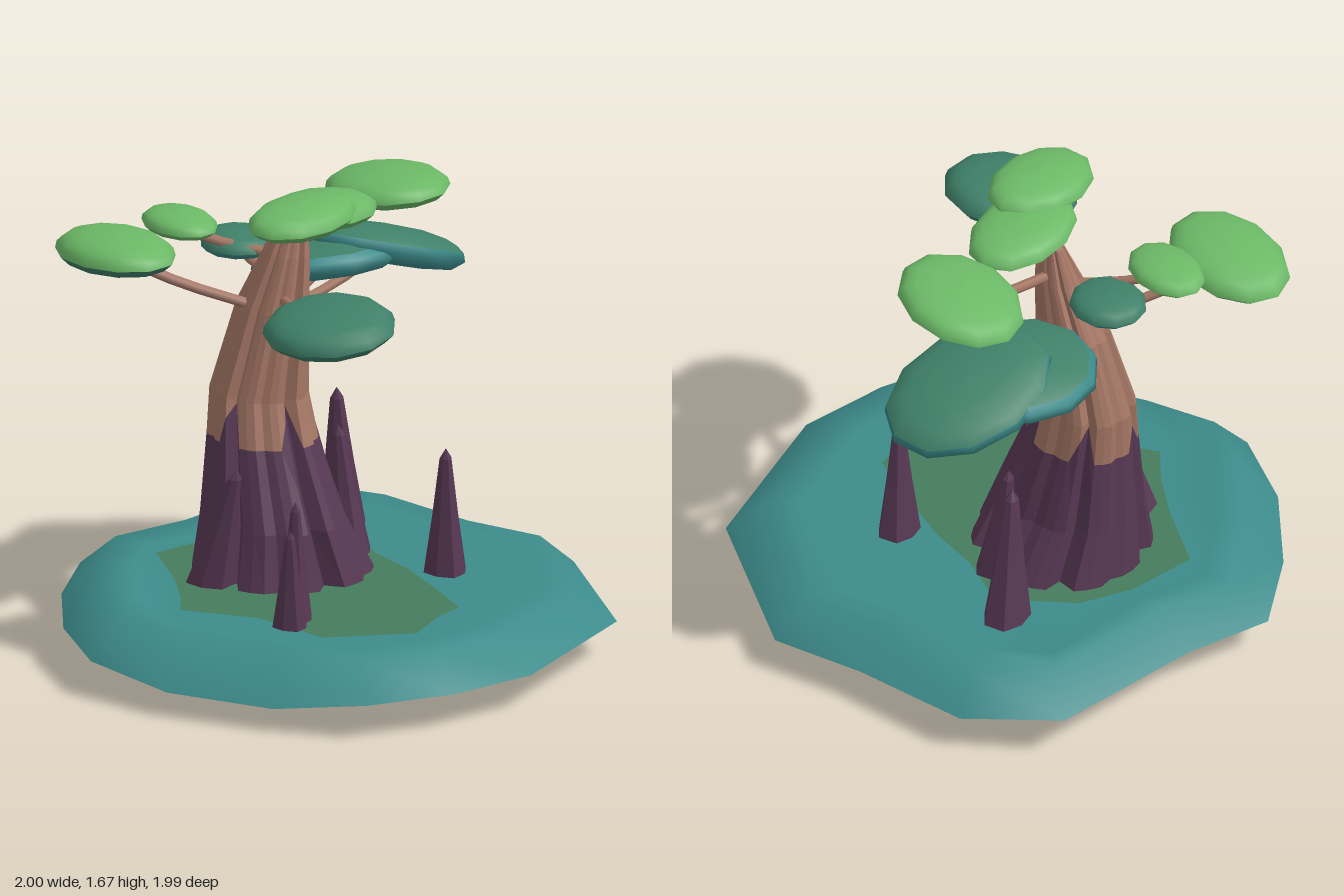
import * as THREE from 'three';

const mat = (name, color, opts = {}) => {
  const m = new THREE.MeshStandardMaterial({ color, ...opts });
  m.name = name;
  return m;
};

// Skins a stack of equal-length point loops; flat gives faceted normals
function loft(rings, flat) {
  const n = rings[0].length, index = [];
  for (let r = 0; r < rings.length - 1; r++)
    for (let i = 0; i < n; i++) {
      const a = r * n + i, d = r * n + (i + 1) % n, b = a + n, c = d + n;
      index.push(a, b, c, a, c, d);
    }
  let geo = new THREE.BufferGeometry();
  geo.setAttribute('position', new THREE.Float32BufferAttribute(rings.flat(2), 3));
  geo.setIndex(index);
  if (flat) geo = geo.toNonIndexed();
  geo.computeVertexNormals();
  return geo;
}

export function createModel() {
  const root = new THREE.Group();
  root.name = 'treeIsland';
  const teal = mat('teal', 0x3d8b8b, { side: THREE.DoubleSide });
  const moss = mat('moss', 0x467c5c, { side: THREE.DoubleSide });
  const bark = mat('bark', 0xa57765);
  const rootPurple = mat('rootPurple', 0x573853);
  const lightLeaf = mat('lightLeaf', 0x6cb967);
  const darkLeaf = mat('darkLeaf', 0x3f8069);
  const add = (name, geo, material, parent = root) => {
    const m = new THREE.Mesh(geo, material);
    m.name = name;
    parent.add(m);
    return m;
  };

  // Island shell: sloping rim, uneven shoulder and level top, open below
  const outline = [[1, 0], [.77, .63], [.2, .96], [-.14, .99], [-.46, .93], [-.68, .67], [-.9, .33], [-1, 0],
    [-.9, -.33], [-.7, -.65], [-.46, -.9], [-.13, -.89], [.47, -1], [.74, -.75], [.86, -.32]];
  const rimY = [.13, .13, .13, .13, .13, .085, .09, .13, .14, .14, .14, .14, .17, .14, .13];
  const shoulderY = [.25, .25, .25, .25, .25, .23, .235, .28, .3, .27, .26, .27, .29, .26, .25];
  const patch = [[.28, .05], [.24, .3], [.2, .5], [.08, .55], [-.08, .66], [-.38, .52], [-.45, .22], [-.63, 0],
    [-.55, -.12], [-.46, -.3], [-.36, -.57], [-.1, -.6], [.1, -.56], [.33, -.37], [.28, -.15]];
  const patchRing = patch.map(([x, z]) => [x, .25, z]);
  add('islandGround', loft([
    outline.map(([x, z], i) => [x, rimY[i], z]),
    outline.map(([x, z], i) => [x * .86, shoulderY[i], z * .86]),
    outline.map(([x, z]) => [x * .74, .25, z * .74]),
    patchRing,
  ]), teal);
  add('mossPatch', loft([patchRing, patch.map(() => [-.1, .25, -.1])]), moss);

  // Trunk profile rows: y, centre x, centre z, radius x, radius z
  const profile = [[.14, -.07, -.21, .29, .29], [.25, -.065, -.21, .32, .32], [.45, -.1, -.22, .24, .29],
    [.73, -.115, -.265, .185, .22], [.88, -.115, -.29, .165, .2], [1.2, -.08, -.255, .115, .16],
    [1.4, -.05, -.215, .075, .1], [1.54, -.03, -.2, .035, .06]];
  // Broad planks between narrow grooves
  const COLS = 40;
  const rib = [1, .99, .8, .97, .98, .97, .93, 1];
  const trunkPoint = (y, i) => {
    let k = 0;
    while (k < profile.length - 2 && y > profile[k + 1][0]) k++;
    const [p, q] = [profile[k], profile[k + 1]];
    const t = (y - p[0]) / (q[0] - p[0]);
    const [, cx, cz, rx, rz] = p.map((v, j) => v + (q[j] - v) * t);
    const a = i / COLS * Math.PI * 2, s = rib[i % rib.length];
    return [cx + Math.cos(a) * rx * s, y, cz + Math.sin(a) * rz * s];
  };
  const trunkRing = (y) => Array.from({ length: COLS }, (_, i) => trunkPoint(y, i));
  const seam = Array.from({ length: COLS }, (_, i) => trunkPoint(i % 8 === 2 ? .87 : i % 8 === 3 ? .82 : .73, i));
  const hub = (x, y, z) => Array.from({ length: COLS }, () => [x, y, z]);
  add('trunkRoots', loft([hub(-.11, .08, -.2), ...[.14, .25, .45, .6].map(trunkRing), seam], true), rootPurple);
  add('trunkBark', loft([seam, ...[.89, 1.2, 1.4, 1.54].map(trunkRing), hub(-.03, 1.56, -.2)], true), bark);

  // Root spikes: foot below ground, centre at ground level, tip, ground radius, foot radius
  const spikes = new THREE.Group();
  spikes.name = 'rootSpikes';
  root.add(spikes);
  [
    [[-.36, .08, .34], [-.405, .25, .36], [-.425, .61, .385], .065, .08],
    [[-.33, .08, .3], [-.345, .25, .3], [-.35, .68, .305], .065, .08],
    [[.38, .08, .145], [.375, .25, .15], [.36, .71, .17], .08, .09],
    [[.23, .05, -.21], [.22, .25, -.22], [.205, .7, -.28], .08, .09],
    [[.38, 0, -.59], [.355, .25, -.475], [.31, .77, -.45], .09, .135],
    [[-.39, .1, -.23], [-.365, .25, -.2], [-.33, .68, -.1], .095, .1],
  ].forEach(([foot, ground, tip, r, footR]) => {
    const ring = (from, to, f, radius) => Array.from({ length: 7 }, (_, i) => {
      const a = i / 7 * Math.PI * 2, w = radius * (i % 2 ? .85 : 1);
      return [from[0] + (to[0] - from[0]) * f + Math.cos(a) * w, from[1] + (to[1] - from[1]) * f,
        from[2] + (to[2] - from[2]) * f + Math.sin(a) * w];
    });
    add('rootSpike', loft([ring(foot, ground, 0, 0), ring(foot, ground, 0, footR), ring(foot, ground, .4, footR * .95),
      ring(ground, tip, 0, r), ring(ground, tip, .45, r * .62), ring(ground, tip, .92, r * .28),
      ring(ground, tip, 1, 0)], true), rootPurple, spikes);
  });

  // Leaf pads: shallow domes split into an upper and a lower part at a chosen row
  const padRows = [[0, -.85], [.5, -.85], [.85, -.7], [1, -.25], [.97, .15], [.88, .45], [.74, .7], [.45, .93], [0, 1]];
  const padPart = (from, to) => loft(padRows.slice(from, to + 1).map(([s, y]) =>
    Array.from({ length: 11 }, (_, i) => {
      const a = i / 11 * Math.PI * 2;
      return [Math.cos(a) * s, y, Math.sin(a) * s];
    })));
  // Rows: centre, radii, rotation, top colour, underside colour, split row, branch start
  [
    [[-.145, 1.615, .03], [.225, .055, .16], [0, .3, .05], lightLeaf, lightLeaf, 3, [-.03, 1.48, -.19]],
    [[.03, 1.57, -.11], [.235, .053, .165], [0, .35, -.07], lightLeaf, lightLeaf, 3, [-.03, 1.48, -.2]],
    [[.415, 1.54, -.29], [.205, .06, .255], [-.1, 0, .05], lightLeaf, lightLeaf, 3, [-.02, 1.42, -.22]],
    [[-.58, 1.425, -.49], [.185, .065, .265], [-.05, 0, 0], lightLeaf, darkLeaf, 3, [-.14, 1.2, -.26]],
    [[-.315, 1.48, -.49], [.118, .042, .165], [0, 0, 0], lightLeaf, lightLeaf, 3, [-.05, 1.38, -.24]],
    [[-.25, 1.325, .365], [.225, .07, .245], [0, .2, .15], darkLeaf, darkLeaf, 3, [-.1, 1.25, -.18]],
    [[.27, 1.27, -.45], [.285, .07, .25], [-.14, 0, .02], darkLeaf, teal, 5, [.0, 1.22, -.26]],
    [[.485, 1.265, -.435], [.32, .075, .245], [-.18, 0, -.3], darkLeaf, teal, 4, [-.01, 1.16, -.28]],
    [[-.11, 1.39, -.43], [.133, .045, .142], [0, 0, 0], darkLeaf, teal, 3, [-.06, 1.3, -.27]],
  ].forEach(([pos, size, rot, top, under, split, start]) => {
    const pad = new THREE.Group();
    pad.name = 'leafPad';
    pad.position.set(...pos);
    pad.rotation.set(...rot);
    pad.scale.set(...size);
    root.add(pad);
    add('leafTop', padPart(split, padRows.length - 1), top, pad);
    add('leafUnderside', padPart(0, split), under, pad);
    // Branch bending up into the pad
    const a = new THREE.Vector3(...start), b = new THREE.Vector3(...pos);
    b.y -= .02;
    const mid = a.clone().lerp(b, .55);
    mid.y -= .015;
    add('branch', new THREE.TubeGeometry(new THREE.CatmullRomCurve3([a, mid, b]), 5, .019, 6), bark);
  });
  return root;
}
